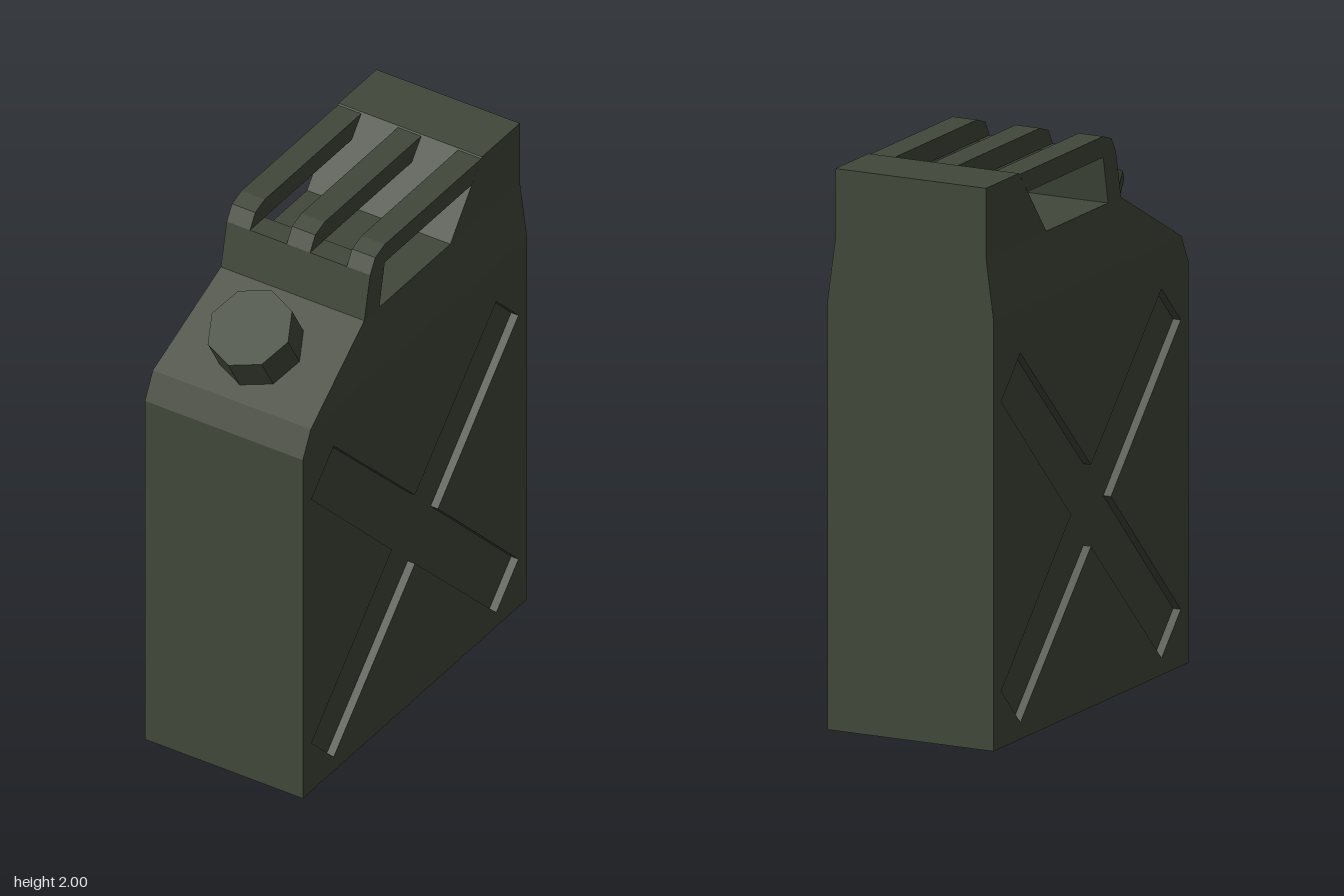
import * as THREE from 'three';

export function createModel() {
  const group = new THREE.Group();
  const olive = new THREE.MeshStandardMaterial({ color: 0x41473a });
  olive.name = 'olive drab';

  // Extrudes a side profile of [z, y] points across x, centred on cx
  function slab(name, points, width, cx = 0, hole = null, rule = null) {
    const toVectors = (list) => list.map(([z, y]) => new THREE.Vector2(z, y));
    const shape = new THREE.Shape(toVectors(points));
    if (hole) shape.holes.push(new THREE.Path(toVectors(hole)));
    const geometry = new THREE.ExtrudeGeometry(shape, { depth: width, bevelEnabled: false });
    geometry.translate(0, 0, -width / 2).rotateY(-Math.PI / 2).translate(cx, 0, 0);
    if (rule) {
      rule(geometry.attributes.position);
      geometry.computeVertexNormals();
    }
    const mesh = new THREE.Mesh(geometry, olive);
    mesh.name = name;
    group.add(mesh);
  }

  const wide = 0.325, narrow = 0.295;

  // Tank: a core with a side panel each side, cut by a cross-shaped recess
  const tank = [[-0.71, 0], [0.71, 0], [0.71, 1.43], [0.66, 1.53], [-0.71, 1.53]];
  const cy = 0.717;
  const cross = [
    [0.145, 0], [0.655, 0.515], [0.515, 0.657], [0, 0.145],
    [-0.515, 0.657], [-0.655, 0.515], [-0.145, 0], [-0.655, -0.515],
    [-0.515, -0.657], [0, -0.145], [0.515, -0.657], [0.655, -0.515],
  ].map(([z, y]) => [z, y + cy]);
  slab('tankCore', tank, narrow * 2);
  for (const [side, name] of [[1, 'leftPanel'], [-1, 'rightPanel']]) {
    slab(name, tank, wide - narrow, side * (wide + narrow) / 2, cross);
  }

  // Shoulder tapering towards the top
  slab('shoulder', [[-0.71, 1.53], [0.66, 1.53], [0.275, 1.75], [-0.71, 1.75]], wide * 2, 0, null, (p) => {
    for (let i = 0; i < p.count; i++) {
      if (p.getY(i) > 1.6) p.setX(i, Math.sign(p.getX(i)) * narrow);
    }
  });

  // Raised rear block that the handles run into
  slab('rearBlock', [[-0.71, 1.75], [-0.27, 1.75], [-0.47, 2], [-0.71, 2]], narrow * 2);

  // Front handle support and the three carrying bars
  slab('handleSupport', [[0.18, 1.75], [0.275, 1.75], [0.238, 1.92], [0.145, 1.92]], narrow * 2);
  const bar = [[-0.405, 1.92], [0.238, 1.92], [0.205, 1.975], [0.145, 1.995], [-0.466, 1.995]];
  for (const [name, x] of [['rightHandle', -0.247], ['middleHandle', 0], ['leftHandle', 0.247]]) {
    slab(name, bar, 0.096, x);
  }

  // Eight-sided filler cap on the sloped front
  const cap = new THREE.Mesh(
    new THREE.CylinderGeometry(0.157, 0.157, 0.145, 8).toNonIndexed(), olive);
  cap.geometry.computeVertexNormals();
  cap.position.set(0, 1.704, 0.509);
  cap.rotation.x = Math.PI / 6;
  cap.name = 'fillerCap';
  group.add(cap);

  return group;
}
